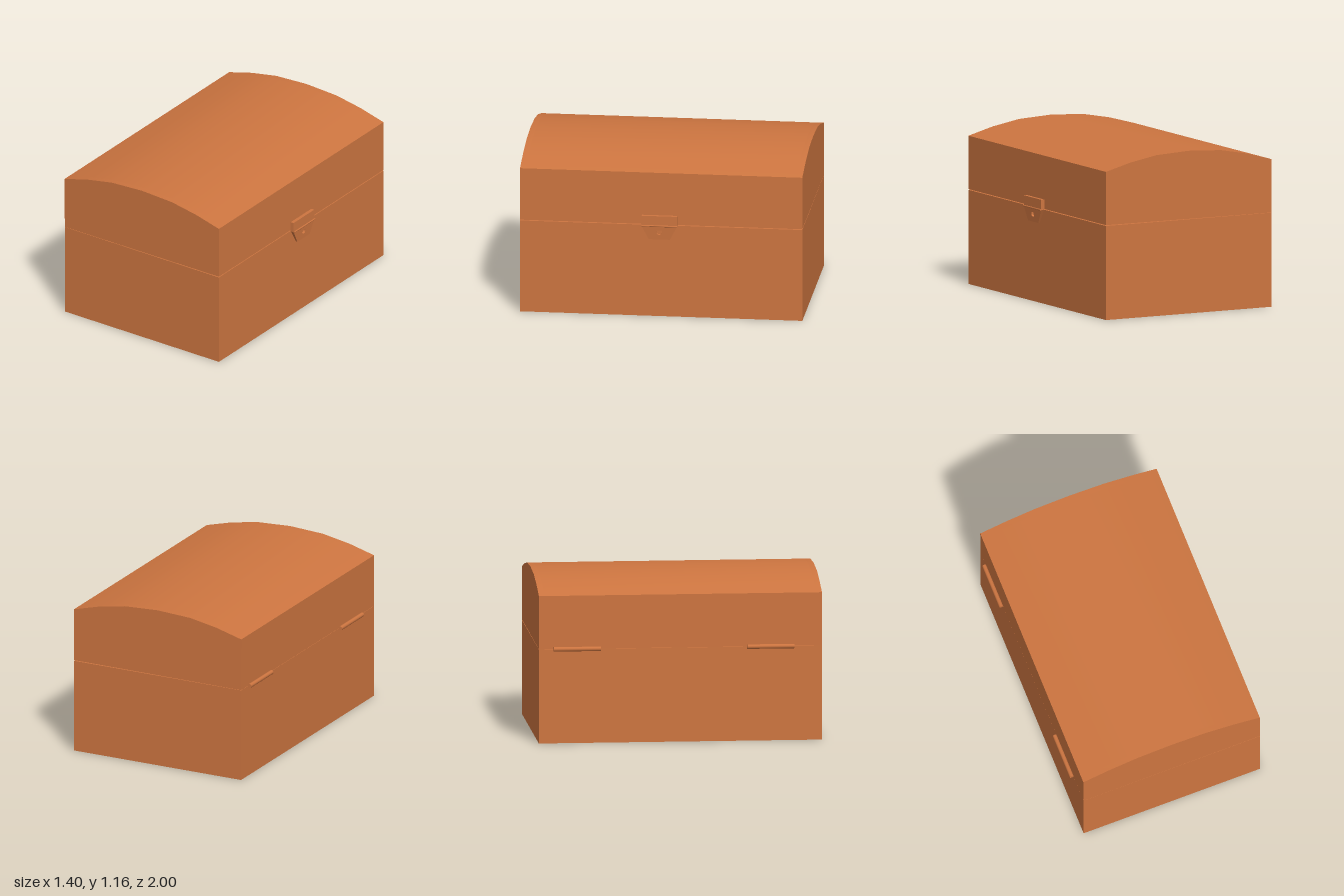
import * as THREE from 'three';
import { toCreasedNormals } from 'three/addons/utils/BufferGeometryUtils.js';

const material = new THREE.MeshStandardMaterial({ color: 0xcd7540 });

function add(group, name, geometry, x = 0, y = 0, z = 0) {
  const mesh = new THREE.Mesh(geometry, material);
  mesh.name = name;
  mesh.position.set(x, y, z);
  group.add(mesh);
  return mesh;
}

const toShape = (points) => new THREE.Shape(points.map(([x, y]) => new THREE.Vector2(x, y)));

// Extrusion of an x-y outline along z, centred on z = 0
function prism(points, depth) {
  const geometry = new THREE.ExtrudeGeometry(toShape(points), { depth, bevelEnabled: false });
  geometry.translate(0, 0, -depth / 2);
  return toCreasedNormals(geometry, 0.4);
}

// Plate outlined in (z, y), with its thickness along x
function plate(shape, thickness) {
  const geometry = new THREE.ExtrudeGeometry(shape, { depth: thickness, bevelEnabled: false, curveSegments: 8 });
  geometry.translate(0, 0, -thickness / 2);
  geometry.rotateY(Math.PI / 2);
  return geometry;
}

export function createModel() {
  const chest = new THREE.Group();
  chest.name = 'chest';
  const wall = 0.04, left = 0.655, right = -0.675, seam = 0.669;

  // Hollow lower box: a U section closed by two end walls
  const base = new THREE.Group();
  base.name = 'base';
  chest.add(base);
  add(base, 'baseTrough', prism([
    [right, 0], [left, 0], [left, seam], [left - wall, seam],
    [left - wall, wall], [right + wall, wall], [right + wall, seam], [right, seam],
  ], 2 - 2 * wall));
  for (const side of [-1, 1]) {
    add(base, 'baseEnd', new THREE.BoxGeometry(left - right, seam, wall),
      (left + right) / 2, seam / 2, side * (1 - wall / 2));
  }

  // Hollow domed lid, resting very slightly open at the latch side
  const lid = new THREE.Group();
  lid.name = 'lid';
  chest.add(lid);
  const dome = [[0.655, 1.054], [0.46, 1.106], [0.25, 1.144], [-0.01, 1.157],
    [-0.27, 1.143], [-0.48, 1.104], [-0.677, 1.05]];
  const rimRight = [right, 0.671], rimLeft = [left, 0.675];
  const inner = dome.map(([x, y]) => [x * 0.94, y - wall]).reverse();
  add(lid, 'lidDome', prism([
    rimLeft, ...dome, rimRight, [right * 0.94, 0.671], ...inner, [left * 0.94, 0.675],
  ], 2 - 2 * wall));
  for (const side of [-1, 1]) {
    add(lid, 'lidEnd', prism([rimLeft, ...dome, rimRight], wall), 0, 0, side * (1 - wall / 2));
  }

  // Hinge barrels along the seam
  for (const z of [-0.73, 0.637]) {
    const barrel = new THREE.CylinderGeometry(0.016, 0.016, 0.332, 10);
    barrel.rotateX(Math.PI / 2);
    add(chest, 'hinge', barrel, -0.687, 0.671, z);
  }

  // Latch: upper plate, pivot pin and tapering hasp with a keyhole
  const latch = new THREE.Group();
  latch.name = 'latch';
  latch.position.z = 0.01;
  chest.add(latch);
  add(latch, 'latchPlate', new THREE.BoxGeometry(0.025, 0.07, 0.252), 0.674, 0.709, 0);
  const pin = new THREE.CylinderGeometry(0.006, 0.006, 0.252, 8);
  pin.rotateX(Math.PI / 2);
  add(latch, 'latchPin', pin, 0.69, 0.672, 0);

  const haspShape = toShape([[-0.075, 0], [0.075, 0], [0.126, 0.1], [-0.126, 0.1]]);
  const keyhole = new THREE.Path();
  keyhole.moveTo(-0.02, 0.068);
  keyhole.lineTo(-0.02, 0.055);
  keyhole.absarc(0, 0.055, 0.02, Math.PI, 2 * Math.PI, false);
  keyhole.lineTo(0.02, 0.068);
  haspShape.holes.push(keyhole);
  const hasp = plate(haspShape, 0.024);
  const p = hasp.attributes.position;
  for (let i = 0; i < p.count; i++) p.setX(i, p.getX(i) * (0.45 + 5.5 * p.getY(i)));
  hasp.computeVertexNormals();
  add(latch, 'hasp', hasp, 0.676, 0.572, 0);

  return chest;
}
